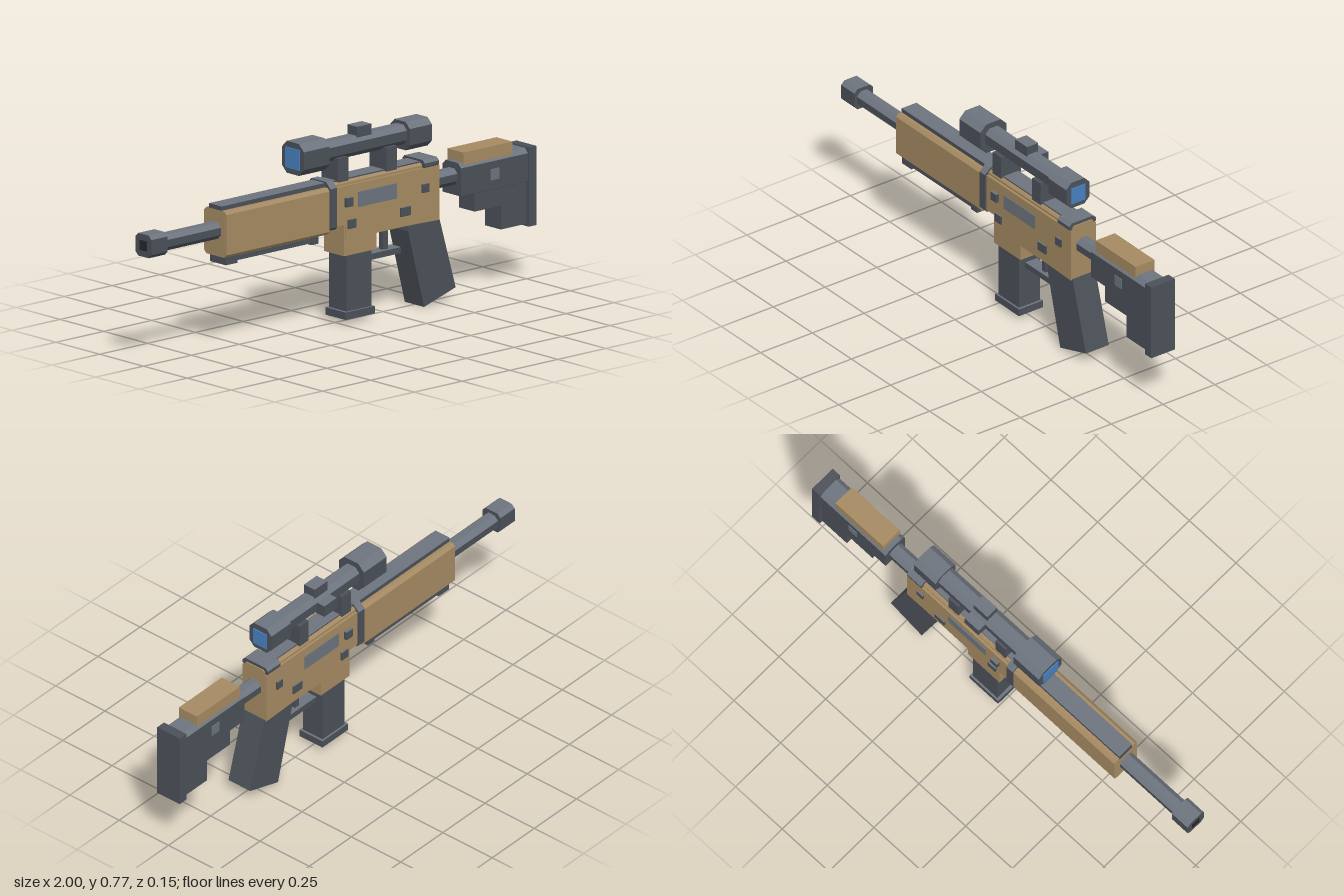
import * as THREE from 'three';

const mat = (name, color) => {
  const m = new THREE.MeshStandardMaterial({ color });
  m.name = name;
  m.flatShading = true;
  return m;
};

export function createModel() {
  const model = new THREE.Group();
  model.name = 'rifle';
  const tan = mat('tan', 0xa58a62);
  const gunmetal = mat('gunmetal', 0x4b5058);
  const steel = mat('steel', 0x6d747e);
  const glass = mat('blueGlass', 0x4680c0);
  const bore = mat('boreBlack', 0x25272b);

  const add = (name, geometry, material) => {
    const mesh = new THREE.Mesh(geometry, material);
    mesh.name = name;
    model.add(mesh);
    return mesh;
  };

  // Box from its limits; z half-width or [min, max]
  const box = (name, x0, x1, y0, y1, z, material) => {
    const [z0, z1] = Array.isArray(z) ? z : [-z, z];
    const g = new THREE.BoxGeometry(x1 - x0, y1 - y0, z1 - z0);
    g.translate((x0 + x1) / 2, (y0 + y1) / 2, (z0 + z1) / 2);
    return add(name, g, material);
  };

  // Box with a steel upper face
  const cappedBox = (name, x0, x1, y0, y1, z) =>
    box(name, x0, x1, y0, y1, z, [gunmetal, gunmetal, steel, gunmetal, gunmetal, gunmetal]);

  // Chamfered bar along x: corner cuts for top and bottom, steel on upward faces
  const bar = (name, x0, x1, y0, y1, hz, top, bottom, upper = steel, lower = gunmetal) => {
    const s = new THREE.Shape();
    const pts = [[-hz, y0 + bottom], [-hz + bottom, y0], [hz - bottom, y0], [hz, y0 + bottom],
      [hz, y1 - top], [hz - top, y1], [-hz + top, y1], [-hz, y1 - top]];
    s.setFromPoints(pts.map(p => new THREE.Vector2(...p)));
    let g = new THREE.ExtrudeGeometry(s, { depth: x1 - x0, bevelEnabled: false });
    g.rotateY(Math.PI / 2).translate(x0, 0, 0);
    if (g.index) g = g.toNonIndexed();
    g.clearGroups();
    const n = g.attributes.normal;
    for (let i = 0; i < n.count; i += 3) g.addGroup(i, 3, n.getY(i) > 0.3 ? 0 : 1);
    return add(name, g, [upper, lower]);
  };

  // Side profile extruded across z
  const profile = (name, pts, hz, material) => {
    const s = new THREE.Shape(pts.map(p => new THREE.Vector2(...p)));
    const g = new THREE.ExtrudeGeometry(s, { depth: hz * 2, bevelEnabled: false });
    g.translate(0, 0, -hz);
    return add(name, g, material);
  };

  // Barrel and muzzle
  bar('barrel', -0.93, -0.6, 0.445, 0.51, 0.033, 0.018, 0.018);
  bar('muzzleBrake', -1, -0.915, 0.435, 0.525, 0.045, 0.015, 0.015);
  box('muzzleBore', -1.002, -0.997, 0.46, 0.5, 0.02, bore);

  // Handguard, top rail and collar
  bar('handguard', -0.625, -0.085, 0.375, 0.56, 0.063, 0.012, 0.012, tan, tan);
  cappedBox('topRail', -0.625, 0.41, 0.545, 0.577, 0.036);
  bar('collar', -0.085, -0.05, 0.39, 0.582, 0.067, 0.025, 0.01);

  // Folded bipod
  box('bipodHinge', -0.61, -0.55, 0.342, 0.395, 0.045, gunmetal);
  for (const side of [-1, 1]) {
    const z = side * 0.032;
    cappedBox('bipodLeg', -0.6, -0.13, 0.352, 0.372, [z - 0.012, z + 0.012]);
    box('bipodFoot', -0.165, -0.128, 0.345, 0.377, [z - 0.015, z + 0.015], gunmetal);
  }

  // Receiver with magazine well
  profile('receiver', [[-0.05, 0.4], [0, 0.4], [0, 0.34], [0.34, 0.34], [0.49, 0.335],
    [0.49, 0.555], [-0.05, 0.555]], 0.06, tan);
  bar('receiverTop', -0.05, 0.49, 0.55, 0.572, 0.05, 0.008, 0.001, tan, tan);
  box('magazineWell', -0.005, 0.165, 0.275, 0.4, 0.058, tan);
  bar('rearSight', 0.41, 0.485, 0.555, 0.585, 0.064, 0.012, 0.004);

  // Side plates and pins on both sides
  const pins = [[0.012, 0.49, 0.036, 0.036, 0.074], [0.03, 0.4, 0.04, 0.036, 0.067],
    [0.31, 0.4, 0.052, 0.036, 0.067], [0.415, 0.475, 0.034, 0.034, 0.067]];
  for (const s of [-1, 1]) {
    const span = (a, b) => (s > 0 ? [a, b] : [-b, -a]);
    box('ejectionPlate', 0.065, 0.265, 0.46, 0.52, span(0.057, 0.064), steel);
    for (const [x, y, w, h, z] of pins)
      cappedBox('pin', x - w / 2, x + w / 2, y - h / 2, y + h / 2, span(0.055, z));
    box('stockPin', 0.763, 0.807, 0.443, 0.487, span(0.048, 0.056), steel);
  }

  // Magazine
  box('magazine', 0.015, 0.145, 0.045, 0.28, 0.05, gunmetal);
  cappedBox('magazineBase', 0.003, 0.155, 0.02, 0.05, 0.058);

  // Trigger, guard and grip
  box('trigger', 0.24, 0.265, 0.245, 0.345, 0.012, gunmetal);
  cappedBox('triggerGuard', 0.155, 0.32, 0.226, 0.25, 0.028);
  profile('grip', [[0.415, 0], [0.58, 0.05], [0.495, 0.34], [0.335, 0.335], [0.332, 0.315]], 0.055, gunmetal);

  // Stock
  bar('bufferTube', 0.48, 0.62, 0.445, 0.51, 0.033, 0.018, 0.018);
  bar('stockBody', 0.61, 0.965, 0.405, 0.535, 0.053, 0.018, 0.001);
  box('stockMiddle', 0.688, 0.965, 0.33, 0.41, 0.045, gunmetal);
  box('stockToe', 0.825, 0.965, 0.235, 0.335, 0.045, gunmetal);
  box('buttPlate', 0.96, 1, 0.225, 0.54, 0.057, gunmetal);
  box('cheekRest', 0.63, 0.885, 0.525, 0.575, 0.046, tan);

  // Scope
  bar('scopeTube', -0.1, 0.36, 0.654, 0.732, 0.04, 0.02, 0.02);
  bar('objectiveHousing', -0.22, -0.085, 0.628, 0.755, 0.063, 0.028, 0.028);
  bar('eyepieceHousing', 0.34, 0.455, 0.632, 0.745, 0.056, 0.024, 0.024);
  box('objectiveLens', -0.224, -0.216, 0.65, 0.732, 0.041, glass);
  box('eyepieceLens', 0.451, 0.459, 0.651, 0.72, 0.034, glass);
  for (const x of [0, 0.252]) box('scopeMount', x - 0.027, x + 0.027, 0.57, 0.665, 0.048, gunmetal);
  cappedBox('elevationTurret', 0.09, 0.165, 0.725, 0.768, 0.027);
  cappedBox('windageTurret', 0.09, 0.165, 0.662, 0.712, [-0.076, -0.03]);

  return model;
}
